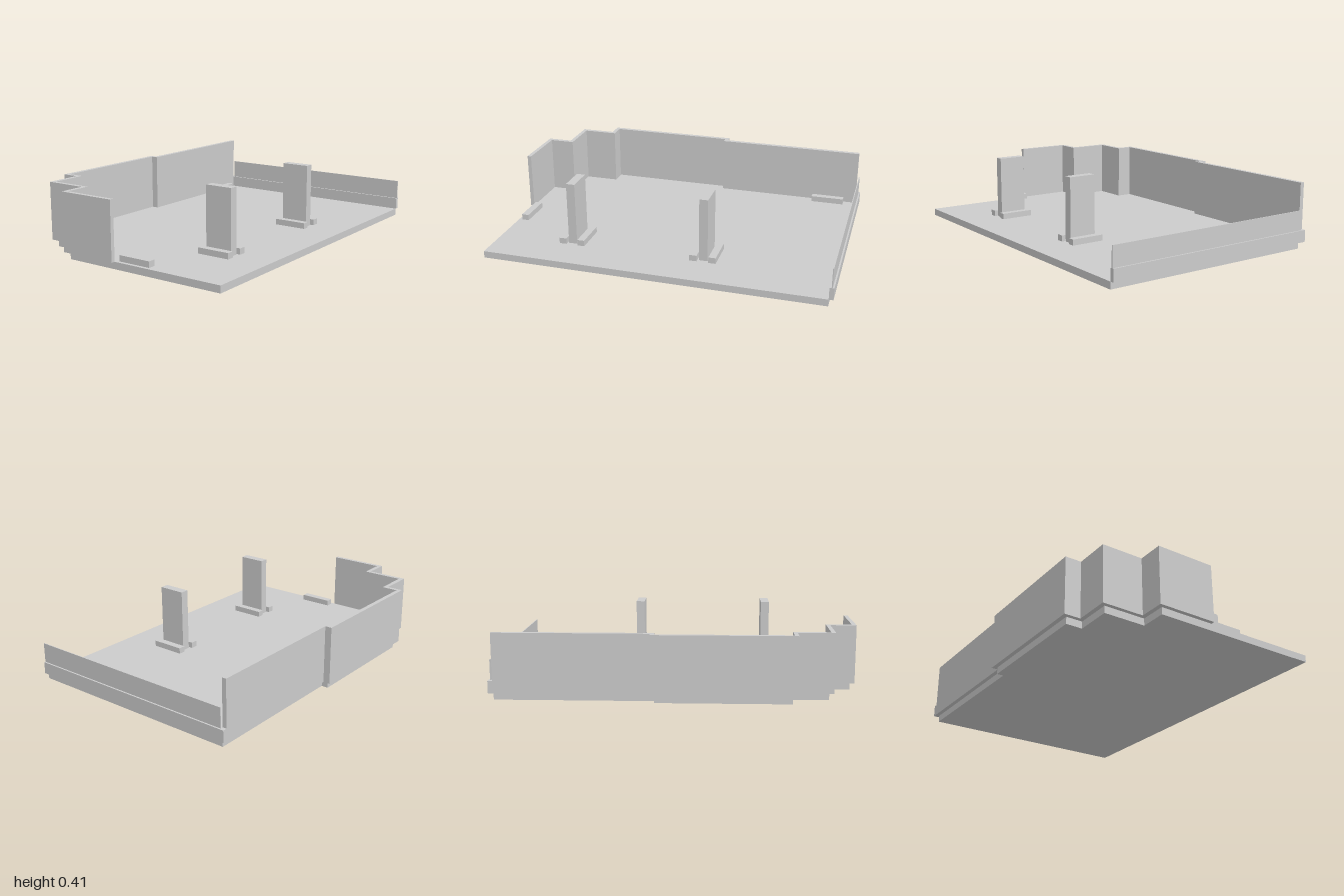
import * as THREE from 'three';

const material = new THREE.MeshStandardMaterial({ color: 0xcccccc, side: THREE.DoubleSide });

function add(group, name, geometry) {
  const mesh = new THREE.Mesh(geometry, material);
  mesh.name = name;
  group.add(mesh);
  return mesh;
}

// Box given by its limits on each axis
function box(group, name, [x0, x1], [y0, y1], [z0, z1]) {
  const mesh = add(group, name, new THREE.BoxGeometry(x1 - x0, y1 - y0, z1 - z0));
  mesh.position.set((x0 + x1) / 2, (y0 + y1) / 2, (z0 + z1) / 2);
}

// Plan outline of [x, z] points, raised from y0 to y1
function slab(group, name, plan, y0, y1) {
  const shape = new THREE.Shape(plan.map(([x, z]) => new THREE.Vector2(x, -z)));
  const geometry = new THREE.ExtrudeGeometry(shape, { depth: y1 - y0, bevelEnabled: false });
  geometry.rotateX(-Math.PI / 2).translate(0, y0, 0);
  add(group, name, geometry);
}

export function createModel() {
  const model = new THREE.Group();
  model.name = 'terrace';
  const floorTop = 0.04;

  // Stepped inner and outer lines of the wall, from the left end to the back corner
  const inner = [
    [-0.977, -0.314], [-0.832, -0.314], [-0.832, -0.554], [-0.63, -0.554],
    [-0.63, -0.648], [0.105, -0.648], [0.105, -0.609], [0.975, -0.609],
  ];
  const outer = [
    [-1, -0.339], [-0.855, -0.339], [-0.855, -0.579], [-0.653, -0.579],
    [-0.653, -0.673], [0.128, -0.673], [0.128, -0.634], [0.975, -0.634],
  ];

  // Floor fills the area inside the wall
  slab(model, 'floor', [[-0.977, 0.673], ...inner, [0.975, 0.673]], 0, floorTop);
  slab(model, 'steppedWall',
    [[-1, 0.003], ...outer, ...[...inner].reverse(), [-0.977, 0.003]], floorTop, 0.372);

  // Low kerb with a thin upright panel along the side
  box(model, 'kerb', [0.975, 1], [floorTop, 0.108], [-0.634, 0.673]);
  box(model, 'sidePanel', [0.986, 0.991], [0.108, 0.22], [-0.609, 0.673]);

  // Two pillars, each between a pair of benches
  for (const x of [-0.529, 0.249]) {
    const bay = new THREE.Group();
    bay.name = 'pillarBay';
    bay.position.x = x;
    box(bay, 'pillar', [-0.025, 0.025], [floorTop, 0.408], [0.276, 0.437]);
    for (const s of [-1, 1]) {
      box(bay, 'bench', [s * 0.055 - 0.021, s * 0.055 + 0.021], [floorTop, 0.074], [0.258, 0.455]);
    }
    model.add(bay);
  }

  // Benches near the walls
  box(model, 'sideBench', [-0.957, -0.915], [floorTop, 0.074], [0.018, 0.217]);
  box(model, 'backBench', [0.702, 0.9], [floorTop, 0.074], [-0.6, -0.56]);

  return model;
}
